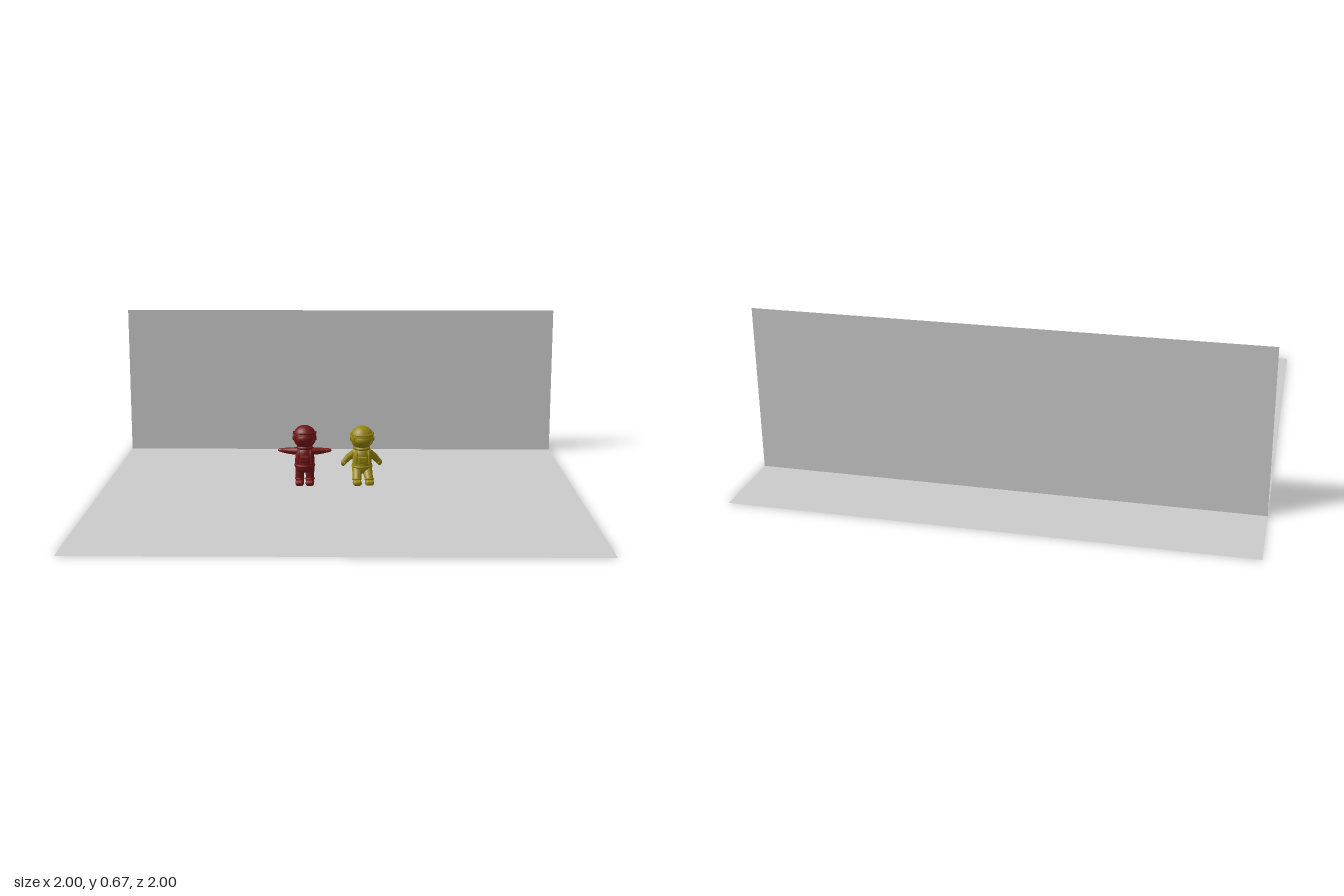
import * as THREE from 'three';
import { RoundedBoxGeometry } from 'three/addons/geometries/RoundedBoxGeometry.js';

const V = (p) => new THREE.Vector3(...p);

function part(name, geometry, material, pos = [0, 0, 0], scale = [1, 1, 1], rot = [0, 0, 0]) {
  const mesh = new THREE.Mesh(geometry, material);
  mesh.name = name;
  mesh.position.set(...pos);
  mesh.scale.set(...scale);
  mesh.rotation.set(...rot);
  return mesh;
}

const ball = (r) => new THREE.SphereGeometry(r, 24, 16);

// Rounded chain of tapered segments; each joint is [x, y, z, radius]
function limb(name, joints, material) {
  const g = new THREE.Group();
  g.name = name;
  joints.forEach((j, i) => {
    g.add(part(name + 'Joint', ball(j[3]), material, j.slice(0, 3)));
    if (!i) return;
    const a = V(joints[i - 1].slice(0, 3)), b = V(j.slice(0, 3));
    const dir = b.clone().sub(a);
    const seg = part(name + 'Segment',
      new THREE.CylinderGeometry(j[3], joints[i - 1][3], dir.length(), 20, 1, true), material);
    seg.position.copy(a).add(b).multiplyScalar(0.5);
    seg.quaternion.setFromUnitVectors(new THREE.Vector3(0, 1, 0), dir.normalize());
    g.add(seg);
  });
  return g;
}

// Small space traveller; the pose gives the arm and leg joints for the +x side
function traveller(name, color, pose) {
  const m = new THREE.MeshStandardMaterial({ color });
  const g = new THREE.Group();
  g.name = name;

  // Torso with belt, chest panel and neck ring
  const profile = [[0, 0.056], [0.025, 0.058], [0.039, 0.07], [0.042, 0.09], [0.041, 0.115],
    [0.039, 0.14], [0.032, 0.158], [0.02, 0.168], [0, 0.17]].map((p) => new THREE.Vector2(...p));
  g.add(part('torso', new THREE.LatheGeometry(new THREE.SplineCurve(profile).getPoints(24), 32), m,
    [0, 0, 0], [1, 1, 0.85]));
  const belt = new THREE.TorusGeometry(0.04, 0.005, 10, 32).rotateX(Math.PI / 2);
  g.add(part('belt', belt, m, [0, 0.088, 0], [1, 1, 0.87]));
  g.add(part('chestPanel', new RoundedBoxGeometry(0.038, 0.026, 0.012, 3, 0.004), m, [0, 0.12, 0.034]));
  const neck = new THREE.TorusGeometry(0.028, 0.007, 10, 32).rotateX(Math.PI / 2);
  g.add(part('neckRing', neck, m, [0, 0.166, 0]));

  // Helmet with visor, rim and ear caps
  const head = new THREE.Group();
  head.name = 'head';
  head.position.set(0, 0.212, 0);
  head.rotation.x = pose.headTilt;
  head.add(part('helmet', ball(0.05), m));
  head.add(part('visor', ball(0.036), m, [0, -0.003, 0.022], [1.05, 0.75, 0.86]));
  head.add(part('visorRim', new THREE.TorusGeometry(0.039, 0.0045, 10, 36), m,
    [0, -0.002, 0.031], [1, 0.76, 1]));
  const brow = new THREE.TorusGeometry(0.0465, 0.004, 8, 32, Math.PI).rotateX(Math.PI / 2);
  head.add(part('brow', brow, m, [0, 0.021, 0]));
  const cap = new THREE.CylinderGeometry(0.014, 0.016, 0.008, 20).rotateZ(Math.PI / 2);
  for (const s of [-1, 1]) head.add(part('earCap', cap, m, [s * 0.047, 0, -0.002]));
  g.add(head);

  // Backpack with flap and straps
  const pack = new THREE.Group();
  pack.name = 'backpack';
  pack.position.set(0, pose.pack[0], pose.pack[1]);
  pack.rotation.x = pose.pack[2];
  pack.add(part('packBody', new RoundedBoxGeometry(0.064, 0.095, 0.04, 4, 0.012), m));
  pack.add(part('packFlap', new RoundedBoxGeometry(0.058, 0.035, 0.046, 4, 0.01), m, [0, 0.03, -0.002]));
  g.add(pack);

  for (const s of [-1, 1]) {
    const side = s > 0 ? 'left' : 'right';
    const flip = (joints) => joints.map(([x, y, z, r]) => [s * x, y, z, r]);
    const strap = new THREE.CatmullRomCurve3([[0.024, 0.148, -0.035], [0.025, 0.164, -0.008],
      [0.026, 0.145, 0.027], [0.029, 0.1, 0.032]].map(([x, y, z]) => V([s * x, y, z])));
    g.add(part(side + 'Strap', new THREE.TubeGeometry(strap, 20, 0.005, 8), m));

    // Arm, hand and thumb
    g.add(limb(side + 'Arm', flip(pose.arm), m));
    const [hx, hy, hz] = pose.arm.at(-1);
    g.add(part(side + 'Hand', ball(0.011), m, [s * hx, hy, hz], pose.handScale));
    g.add(part(side + 'Thumb', ball(0.005), m, [s * (hx - 0.004), hy, hz + 0.011], [0.9, 0.9, 1.5]));

    // Leg, boot and cuff
    g.add(limb(side + 'Leg', flip(pose.leg), m));
    const [fx, fy, fz] = pose.leg.at(-1);
    const boot = new THREE.Group();
    boot.name = side + 'Boot';
    boot.position.set(s * fx, fy, fz);
    boot.rotation.x = pose.bootTilt;
    boot.add(part('bootShell', new RoundedBoxGeometry(0.036, 0.024, 0.05, 4, 0.011), m, [0, -0.008, 0.008]));
    const cuff = new THREE.TorusGeometry(0.017, 0.004, 8, 24).rotateX(Math.PI / 2);
    boot.add(part('bootCuff', cuff, m, [0, 0.008, 0]));
    g.add(boot);
  }
  return g;
}

export function createModel() {
  const model = new THREE.Group();
  model.name = 'stage';
  const grey = new THREE.MeshStandardMaterial({ color: 0xcccccc, side: THREE.DoubleSide });

  // Thin floor and standing back wall
  model.add(part('floor', new THREE.PlaneGeometry(2, 2).rotateX(-Math.PI / 2), grey));
  model.add(part('backWall', new THREE.PlaneGeometry(2, 0.67), grey, [0, 0.335, -0.67]));

  // Standing figure with arms spread
  const red = traveller('redTraveller', 0x741616, {
    headTilt: 0,
    pack: [0.125, -0.054, 0],
    arm: [[0.028, 0.147, -0.006, 0.017], [0.065, 0.147, -0.01, 0.014], [0.1, 0.15, -0.01, 0.009]],
    handScale: [1.4, 0.7, 0.9],
    leg: [[0.02, 0.075, 0, 0.021], [0.022, 0.045, 0, 0.018], [0.022, 0.02, 0, 0.017]],
    bootTilt: 0,
  });
  red.position.set(-0.145, 0, 0);

  // Floating figure with lowered arms and legs swung forward
  const yellow = traveller('yellowTraveller', 0x988610, {
    headTilt: 0.12,
    pack: [0.127, -0.072, 0.12],
    arm: [[0.028, 0.145, -0.006, 0.017], [0.055, 0.122, -0.022, 0.015], [0.078, 0.097, -0.024, 0.011]],
    handScale: [0.95, 1.3, 0.9],
    leg: [[0.021, 0.075, 0.005, 0.022], [0.024, 0.052, 0.03, 0.019], [0.026, 0.034, 0.047, 0.018]],
    bootTilt: -0.15,
  });
  yellow.position.set(0.1, 0, 0.012);
  yellow.rotation.y = 0.1;

  model.add(red, yellow);
  return model;
}
